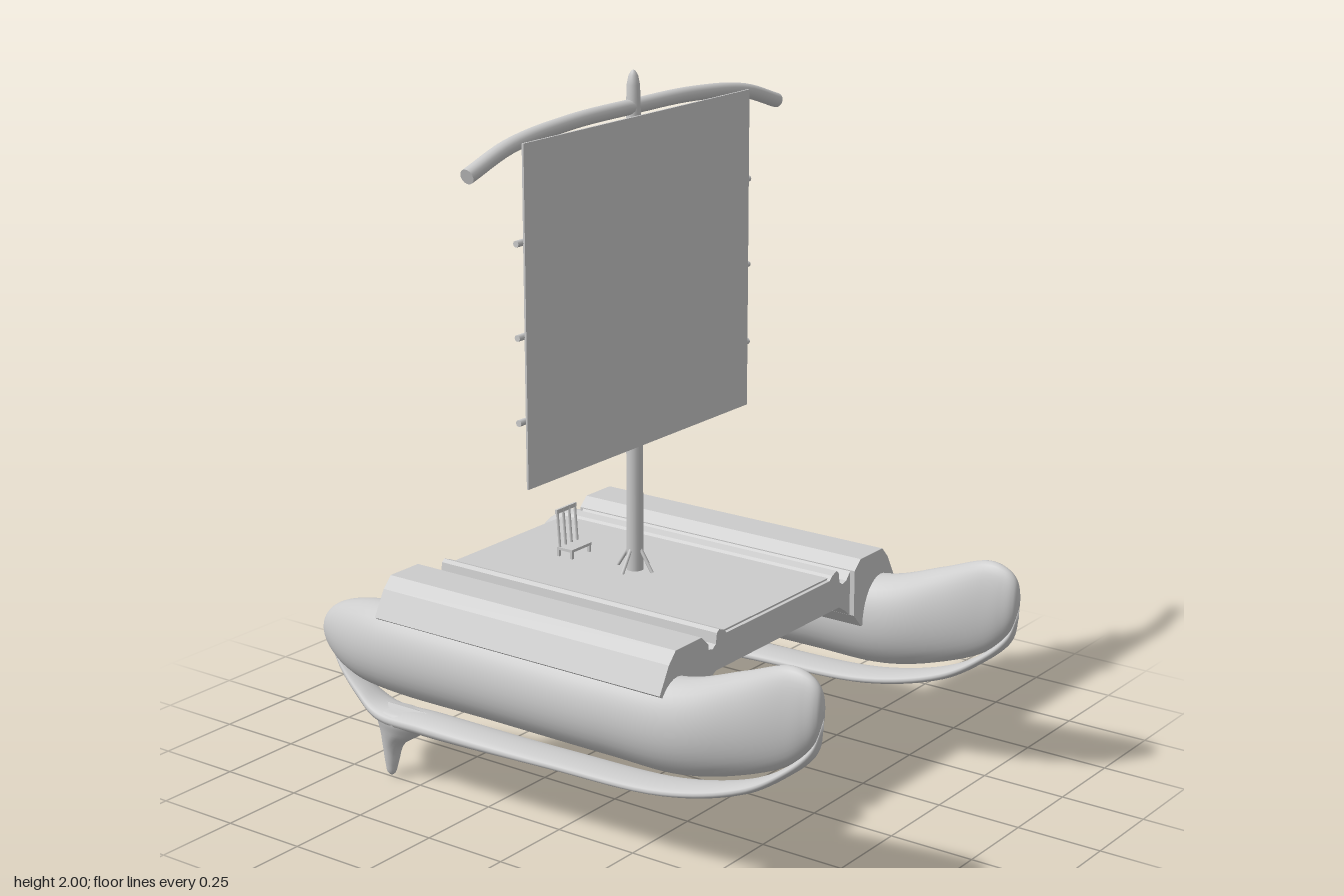
import * as THREE from 'three';

const mat = new THREE.MeshStandardMaterial({ color: 0xcccccc });
const sheet = new THREE.MeshStandardMaterial({ color: 0xcccccc, side: THREE.DoubleSide });
const MAST_Z = -0.115, DECK_Y = 0.585, HULL_X = 0.493;

function add(parent, name, geo, x = 0, y = 0, z = 0, material = mat) {
  const mesh = new THREE.Mesh(geo, material);
  mesh.name = name;
  mesh.position.set(x, y, z);
  parent.add(mesh);
  return mesh;
}

// Smooth loft of elliptical sections [z, top, bottom, halfWidth], listed by falling z
function loft(sections, steps = 64, sides = 28) {
  const edges = new THREE.CatmullRomCurve3(sections.map(s => new THREE.Vector3(s[0], s[1], s[2])));
  const widths = new THREE.CatmullRomCurve3(sections.map(s => new THREE.Vector3(s[0], s[3], 0)));
  const pos = [], index = [];
  for (let i = 0; i <= steps; i++) {
    const e = edges.getPoint(i / steps), w = Math.max(0, widths.getPoint(i / steps).y);
    for (let j = 0; j < sides; j++) {
      const a = (j / sides) * Math.PI * 2;
      pos.push(w * Math.sin(a), (e.y + e.z) / 2 + ((e.y - e.z) / 2) * Math.cos(a), e.x);
      if (i === steps) continue;
      const p = i * sides + j, q = i * sides + (j + 1) % sides;
      index.push(p, q, p + sides, q, q + sides, p + sides);
    }
  }
  const geo = new THREE.BufferGeometry();
  geo.setAttribute('position', new THREE.Float32BufferAttribute(pos, 3));
  geo.setIndex(index);
  geo.computeVertexNormals();
  return geo;
}

// Straight extrusion of an x-y outline between two z values
function prism(points, z0, z1) {
  const shape = new THREE.Shape(points.map(p => new THREE.Vector2(p[0], p[1])));
  return new THREE.ExtrudeGeometry(shape, { depth: z1 - z0, bevelEnabled: false }).translate(0, 0, z0);
}

// Round bar between two points
function bar(parent, name, a, b, r) {
  const path = new THREE.LineCurve3(new THREE.Vector3(...a), new THREE.Vector3(...b));
  return add(parent, name, new THREE.TubeGeometry(path, 1, r, 8), 0, 0, 0, sheet);
}

function makeFloat(side) {
  const g = new THREE.Group();
  g.name = side > 0 ? 'leftFloat' : 'rightFloat';
  g.position.x = side * HULL_X;
  add(g, 'hull', loft([
    [0.845, 0.55, 0.55, 0], [0.832, 0.61, 0.48, 0.022], [0.8, 0.638, 0.43, 0.034],
    [0.74, 0.648, 0.375, 0.045], [0.6, 0.6, 0.315, 0.067], [0.42, 0.54, 0.272, 0.09],
    [0.2, 0.53, 0.27, 0.1], [-0.2, 0.53, 0.27, 0.102], [-0.58, 0.53, 0.27, 0.102],
    [-0.7, 0.515, 0.285, 0.085], [-0.78, 0.49, 0.32, 0.06], [-0.825, 0.455, 0.365, 0.034],
    [-0.843, 0.41, 0.41, 0]], 96, 36));
  // Runner hung under the hull, joined at bow and stern
  add(g, 'keelRunner', loft([
    [0.845, 0.53, 0.5, 0], [0.82, 0.455, 0.42, 0.02], [0.74, 0.375, 0.345, 0.034],
    [0.62, 0.305, 0.27, 0.045], [0.38, 0.24, 0.205, 0.057], [0, 0.222, 0.185, 0.06],
    [-0.45, 0.222, 0.165, 0.06], [-0.62, 0.222, 0.17, 0.055], [-0.7, 0.26, 0.215, 0.04],
    [-0.79, 0.33, 0.3, 0.02], [-0.84, 0.41, 0.39, 0]], 80, 16));
  // Fin is lofted along y, then stood upright
  add(g, 'fin', loft([
    [0.222, 0.69, 0.47, 0], [0.21, 0.685, 0.46, 0.045], [0.19, 0.66, 0.455, 0.056],
    [0.15, 0.645, 0.5, 0.045], [0.1, 0.635, 0.57, 0.03], [0.04, 0.63, 0.59, 0.018],
    [0.01, 0.625, 0.6, 0.01], [0, 0.612, 0.612, 0]], 40, 16).rotateX(-Math.PI / 2));
  return g;
}

function makeDeck() {
  const g = new THREE.Group();
  g.name = 'deck';
  // Half outline of the bridge, with the rim and gutter, mirrored
  const half = [[0.25, 0.58], [0.262, 0.592], [0.285, 0.6], [0.295, 0.592], [0.3, 0.562], [0.315, 0.552],
    [0.335, 0.557], [0.365, 0.59], [0.365, 0.44], [0.335, 0.465], [0.3, 0.487]];
  add(g, 'bridge', prism([...half, ...half.map(p => [-p[0], p[1]]).reverse()], -0.577, 0.377));
  add(g, 'floorPanel', new THREE.BoxGeometry(0.53, 0.03, 0.936), 0, DECK_Y - 0.015, -0.102);
  const pod = [[0.355, 0.582], [0.385, 0.61], [0.5, 0.61], [0.53, 0.578], [0.57, 0.505],
    [0.45, 0.42], [0.395, 0.405], [0.355, 0.448]];
  for (const s of [1, -1]) {
    const pts = pod.map(p => [s * p[0], p[1]]);
    add(g, s > 0 ? 'leftSidePod' : 'rightSidePod', prism(pts, -0.588, 0.392));
  }
  return g;
}

function makeRig() {
  const g = new THREE.Group();
  g.name = 'rig';
  const profile = [[0, 0.58], [0.024, 0.58], [0.023, 1.2], [0.02, 1.9], [0.018, 1.96], [0.013, 1.985], [0.006, 1.997], [0, 2]];
  add(g, 'mast', new THREE.LatheGeometry(profile.map(p => new THREE.Vector2(...p)), 20), 0, 0, MAST_Z);
  for (let i = 0; i < 4; i++) {
    const c = Math.cos(i * Math.PI / 2), s = Math.sin(i * Math.PI / 2);
    bar(g, 'mastBrace', [c * 0.06, DECK_Y, MAST_Z + s * 0.06], [c * 0.018, 0.65, MAST_Z + s * 0.018], 0.005);
  }
  // Drooping yard with closed ends
  const yard = new THREE.CatmullRomCurve3([[-0.69, 1.82], [-0.52, 1.872], [-0.27, 1.897], [0, 1.9],
    [0.27, 1.897], [0.52, 1.872], [0.69, 1.82]].map(p => new THREE.Vector3(p[0], p[1], MAST_Z - 0.003)));
  add(g, 'yard', new THREE.TubeGeometry(yard, 48, 0.021, 14));
  for (const s of [1, -1]) {
    const cap = add(g, 'yardEnd', new THREE.CircleGeometry(0.021, 14), s * 0.69, 1.82, MAST_Z - 0.003, sheet);
    cap.rotation.set(0, Math.PI / 2, -s * 0.3, 'ZYX');
  }
  add(g, 'sail', new THREE.BoxGeometry(1.01, 0.925, 0.006), 0, 1.4175, -0.088);
  for (const y of [1.14, 1.37, 1.62]) {
    add(g, 'batten', new THREE.CylinderGeometry(0.009, 0.009, 1.05, 10).rotateZ(Math.PI / 2), 0, y, -0.099);
  }
  return g;
}

function makeChair() {
  const g = new THREE.Group();
  g.name = 'chair';
  g.position.set(0, DECK_Y, -0.335);
  add(g, 'seat', new THREE.BoxGeometry(0.09, 0.008, 0.055), 0, 0.024, 0.002);
  for (const x of [-0.04, 0.04]) {
    for (const z of [-0.022, 0.025]) add(g, 'leg', new THREE.BoxGeometry(0.008, 0.024, 0.008), x, 0.01, z);
  }
  for (let i = 0; i < 4; i++) {
    const x = -0.04 + i * 0.0267;
    bar(g, 'backSlat', [x, 0.024, -0.018], [x, 0.138, -0.027], 0.004);
  }
  add(g, 'backRail', new THREE.BoxGeometry(0.09, 0.012, 0.007), 0, 0.132, -0.027);
  return g;
}

export function createModel() {
  const model = new THREE.Group();
  model.name = 'sailingCatamaran';
  model.add(makeFloat(1), makeFloat(-1), makeDeck(), makeRig(), makeChair());
  return model;
}
